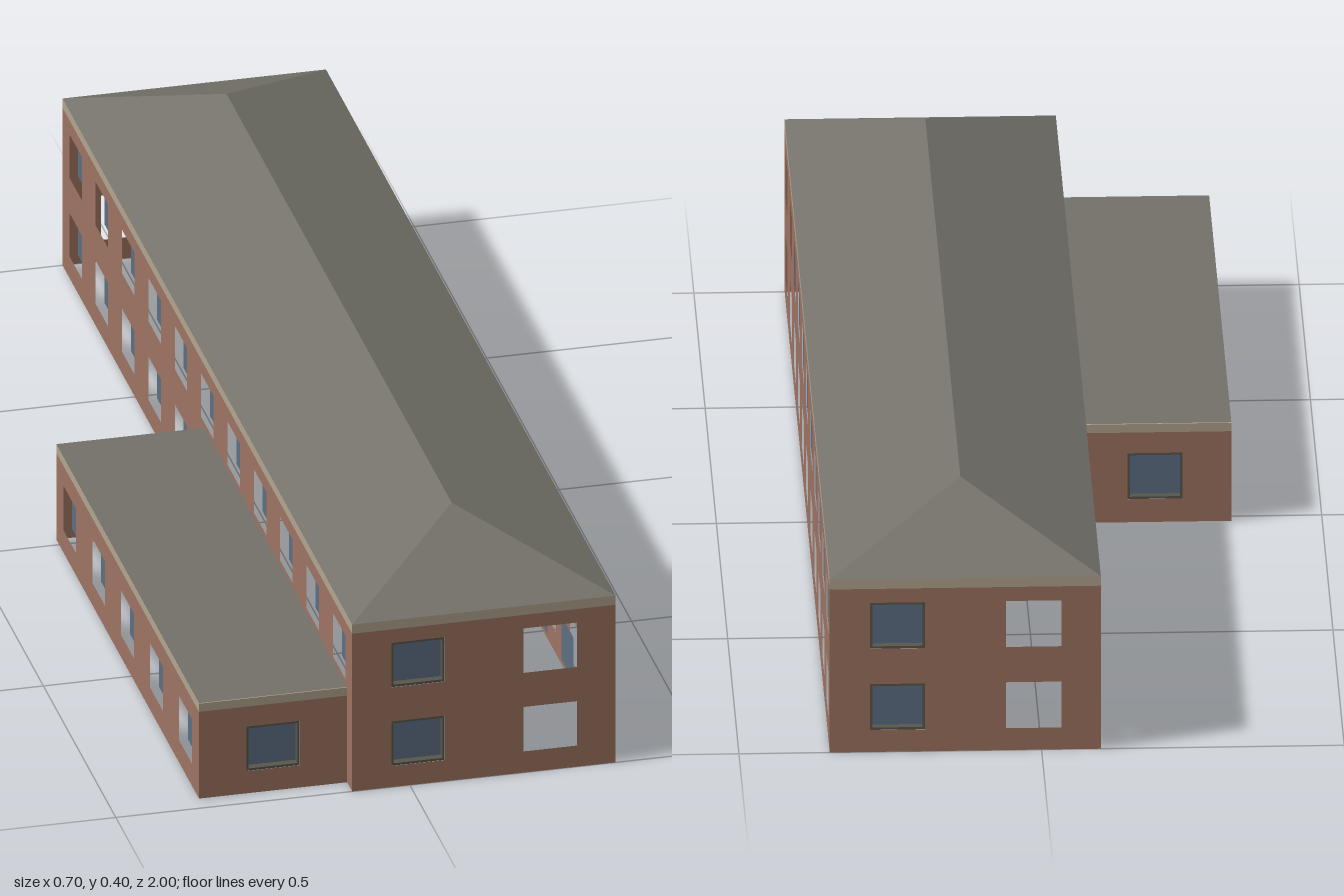
import * as THREE from 'three';

const D = THREE.DoubleSide;
const mat = (name, color) => {
  const m = new THREE.MeshStandardMaterial({ color, side: D });
  m.name = name;
  return m;
};

export function createModel() {
  const brick = mat('brick', 0x9e7462);
  const trim = mat('stone trim', 0xb3a68f);
  const roofing = mat('roofing', 0x74726a);
  const glass = mat('window glass', 0x5c6f84);
  const frameMat = mat('window frame', 0x5a564c);

  const model = new THREE.Group();
  model.name = 'building';

  const add = (parent, name, geometry, material, x = 0, y = 0, z = 0) => {
    const mesh = new THREE.Mesh(geometry, material);
    mesh.name = name;
    mesh.position.set(x, y, z);
    parent.add(mesh);
    return mesh;
  };

  const rect = (Type, u, y, w, h) => {
    const a = u - w / 2, b = u + w / 2, c = y - h / 2, d = y + h / 2;
    return new Type([[a, c], [b, c], [b, d], [a, d]].map(p => new THREE.Vector2(...p)));
  };

  const RECESS = 0.015;

  // Thin wall facing local +z, pierced by windows that hold recessed panes
  function wall(name, length, height, x, z, turn, windows) {
    const group = new THREE.Group();
    group.name = name;
    group.position.set(x, 0, z);
    group.rotation.y = turn;
    const shape = rect(THREE.Shape, 0, height / 2, length, height);
    for (const { u, y, w, h, kind } of windows) {
      shape.holes.push(rect(THREE.Path, u, y, w, h));
      if (kind === 'open') continue;
      add(group, 'windowPane', new THREE.PlaneGeometry(w, h), glass, u, y, -RECESS);
      if (kind === 'framed') {
        const ring = rect(THREE.Shape, u, y, w, h);
        ring.holes.push(rect(THREE.Path, u, y, w - 0.008, h - 0.008));
        const g = new THREE.ExtrudeGeometry(ring, { depth: RECESS - 0.002, bevelEnabled: false });
        add(group, 'windowFrame', g, frameMat, 0, 0, -RECESS + 0.001);
      }
    }
    add(group, name + 'Brick', new THREE.ShapeGeometry(shape), brick);
    model.add(group);
  }

  // Hollow band of trim along the wall tops
  function fascia(name, x0, x1, z0, z1, y0, y1) {
    const cx = (x0 + x1) / 2, cz = (z0 + z1) / 2;
    const ring = rect(THREE.Shape, cx, -cz, x1 - x0, z1 - z0);
    ring.holes.push(rect(THREE.Path, cx, -cz, x1 - x0 - 0.01, z1 - z0 - 0.01));
    const g = new THREE.ExtrudeGeometry(ring, { depth: y1 - y0, bevelEnabled: false });
    g.rotateX(-Math.PI / 2);
    add(model, name, g, trim, 0, y0, 0);
  }

  // Main block
  const X0 = -0.098, X1 = 0.35, CX = (X0 + X1) / 2, WALL = 0.291, EAVE = 0.308;
  const rows = [0.08, 0.225];
  const endWindows = [], sideWindows = [];
  for (const y of rows) {
    endWindows.push({ u: -0.112, y, w: 0.091, h: 0.082, kind: 'framed' });
    endWindows.push({ u: 0.113, y, w: 0.091, h: 0.082, kind: 'open' });
    for (let i = -5; i <= 5; i++) {
      sideWindows.push({ u: i * 0.182, y, w: 0.086, h: 0.08, kind: 'plain' });
    }
  }
  wall('frontWall', X1 - X0, WALL, CX, 1, 0, endWindows);
  wall('backWall', X1 - X0, WALL, CX, -1, Math.PI, endWindows);
  wall('leftWall', 2, WALL, X1, 0, Math.PI / 2, sideWindows);
  wall('rightWall', 2, WALL, X0, 0, -Math.PI / 2, sideWindows);
  fascia('mainFascia', X0, X1, -1, 1, WALL, EAVE);

  // Hipped roof: four eave corners and two ridge ends
  const A = [X0, EAVE, 1], B = [X1, EAVE, 1], C = [X1, EAVE, -1], E = [X0, EAVE, -1];
  const R = [CX, 0.398, 0.777], S = [CX, 0.398, -0.777];
  const faces = [A, B, R, B, C, S, B, S, R, C, E, S, E, A, R, E, R, S];
  const roof = new THREE.BufferGeometry();
  roof.setAttribute('position', new THREE.Float32BufferAttribute(faces.flat(), 3));
  roof.computeVertexNormals();
  add(model, 'hippedRoof', roof, roofing);

  // Low side wing
  const W0 = -0.35, WZ0 = -0.02, WZ1 = 0.965, WTOP = 0.16, WEAVE = 0.175;
  const WX = (W0 + X0) / 2, WZ = (WZ0 + WZ1) / 2;
  const wingEnd = [{ u: 0, y: 0.082, w: 0.091, h: 0.082, kind: 'framed' }];
  const wingSide = [];
  for (let i = -2; i <= 2; i++) {
    wingSide.push({ u: i * 0.2, y: 0.082, w: 0.088, h: 0.082, kind: 'plain' });
  }
  wall('wingFrontWall', X0 - W0, WTOP, WX, WZ1, 0, wingEnd);
  wall('wingBackWall', X0 - W0, WTOP, WX, WZ0, Math.PI, wingEnd);
  wall('wingSideWall', WZ1 - WZ0, WTOP, W0, WZ, -Math.PI / 2, wingSide);
  fascia('wingFascia', W0, X0 + 0.004, WZ0, WZ1, WTOP, WEAVE);
  const flat = new THREE.PlaneGeometry(X0 - W0, WZ1 - WZ0).rotateX(-Math.PI / 2);
  add(model, 'wingFlatRoof', flat, roofing, WX, WEAVE + 0.001, WZ);

  return model;
}
